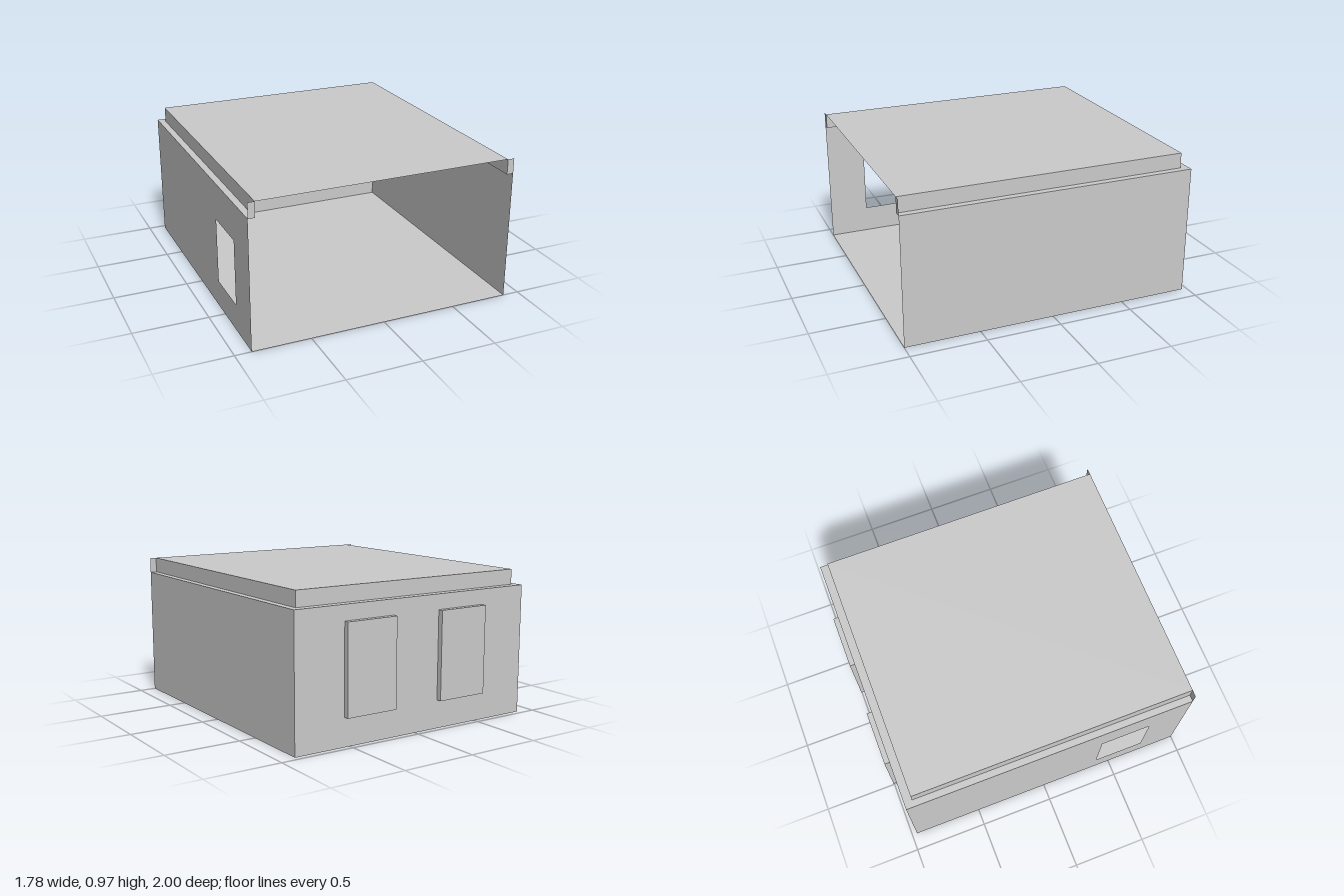
import * as THREE from 'three';

const W = 0.89, TOP_W = 0.845;             // half widths of body and raised roof
const LEDGE_Y = 0.87, ROOF_Y = 0.972;      // heights of ledge and roof
const FRONT = 1, BACK = -0.965, TOP_BACK = -0.911, PANEL_BACK = -1;
const Q = Math.PI / 2;

const rect = (x0, y0, x1, y1) => [[x0, y0], [x1, y0], [x1, y1], [x0, y1]];
const toPoints = (list) => list.map(([x, y]) => new THREE.Vector2(x, y));

export function createModel() {
  const model = new THREE.Group();
  const material = new THREE.MeshStandardMaterial({
    color: 0xcccccc, flatShading: true, side: THREE.DoubleSide,
  });

  // A flat thin sheet with optional cut-outs, turned and moved into place
  function sheet(name, outline, rotation, position, holes = [], parent = model) {
    const shape = new THREE.Shape(toPoints(outline));
    holes.forEach((h) => shape.holes.push(new THREE.Path(toPoints(h))));
    const mesh = new THREE.Mesh(new THREE.ShapeGeometry(shape), material);
    mesh.name = name;
    mesh.rotation.set(...rotation);
    mesh.position.set(...position);
    parent.add(mesh);
  }

  const UP = [-Q, 0, 0], DOWN = [Q, 0, 0], REAR = [0, 2 * Q, 0];
  const PLUS_X = [0, Q, 0], MINUS_X = [0, -Q, 0];

  // Body: floor, side walls (one with a window) and back wall; the front is open
  sheet('floor', rect(-W, BACK, W, FRONT), DOWN, [0, 0, 0]);
  sheet('leftWall', rect(-FRONT, 0, -BACK, LEDGE_Y), PLUS_X, [W, 0, 0]);
  sheet('rightWall', rect(BACK, 0, FRONT, LEDGE_Y), MINUS_X, [-W, 0, 0],
    [rect(0.39, 0.183, 0.73, 0.62)]);
  const px0 = 0.177, px1 = 0.54, py0 = 0.186, py1 = 0.77;
  sheet('backWall', rect(-W, 0, W, LEDGE_Y), REAR, [0, 0, BACK],
    [rect(px0, py0, px1, py1), rect(-px1, py0, -px0, py1)]);

  // Two panels pushed out of the back wall, hollow on the inside
  for (const s of [-1, 1]) {
    const panel = new THREE.Group();
    panel.name = s > 0 ? 'leftBackPanel' : 'rightBackPanel';
    panel.position.x = s * (px0 + px1) / 2;
    const h = (px1 - px0) / 2;
    sheet('panelFace', rect(-h, py0, h, py1), REAR, [0, 0, PANEL_BACK], [], panel);
    sheet('panelTop', rect(-h, -BACK, h, -PANEL_BACK), UP, [0, py1, 0], [], panel);
    sheet('panelBottom', rect(-h, PANEL_BACK, h, BACK), DOWN, [0, py0, 0], [], panel);
    sheet('panelSide', rect(-BACK, py0, -PANEL_BACK, py1), PLUS_X, [h, 0, 0], [], panel);
    sheet('panelSide', rect(PANEL_BACK, py0, BACK, py1), MINUS_X, [-h, 0, 0], [], panel);
    model.add(panel);
  }

  // Ledge running round the sides and back
  sheet('ledge', [
    [-W, -FRONT], [-TOP_W, -FRONT], [-TOP_W, -TOP_BACK], [TOP_W, -TOP_BACK],
    [TOP_W, -FRONT], [W, -FRONT], [W, -BACK], [-W, -BACK],
  ], UP, [0, LEDGE_Y, 0]);

  // Raised roof
  sheet('roof', rect(-TOP_W, -FRONT, TOP_W, -TOP_BACK), UP, [0, ROOF_Y, 0]);
  sheet('roofBack', rect(-TOP_W, LEDGE_Y, TOP_W, ROOF_Y), REAR, [0, 0, TOP_BACK]);
  sheet('roofLeftSide', rect(-FRONT, LEDGE_Y, -TOP_BACK, ROOF_Y), PLUS_X, [TOP_W, 0, 0]);
  sheet('roofRightSide', rect(TOP_BACK, LEDGE_Y, FRONT, ROOF_Y), MINUS_X, [-TOP_W, 0, 0]);

  // Small corner tabs that square off the front edge
  sheet('leftFrontTab', rect(TOP_W, LEDGE_Y, W, ROOF_Y), [0, 0, 0], [0, 0, FRONT]);
  sheet('rightFrontTab', rect(-W, LEDGE_Y, -TOP_W, ROOF_Y), [0, 0, 0], [0, 0, FRONT]);

  return model;
}
